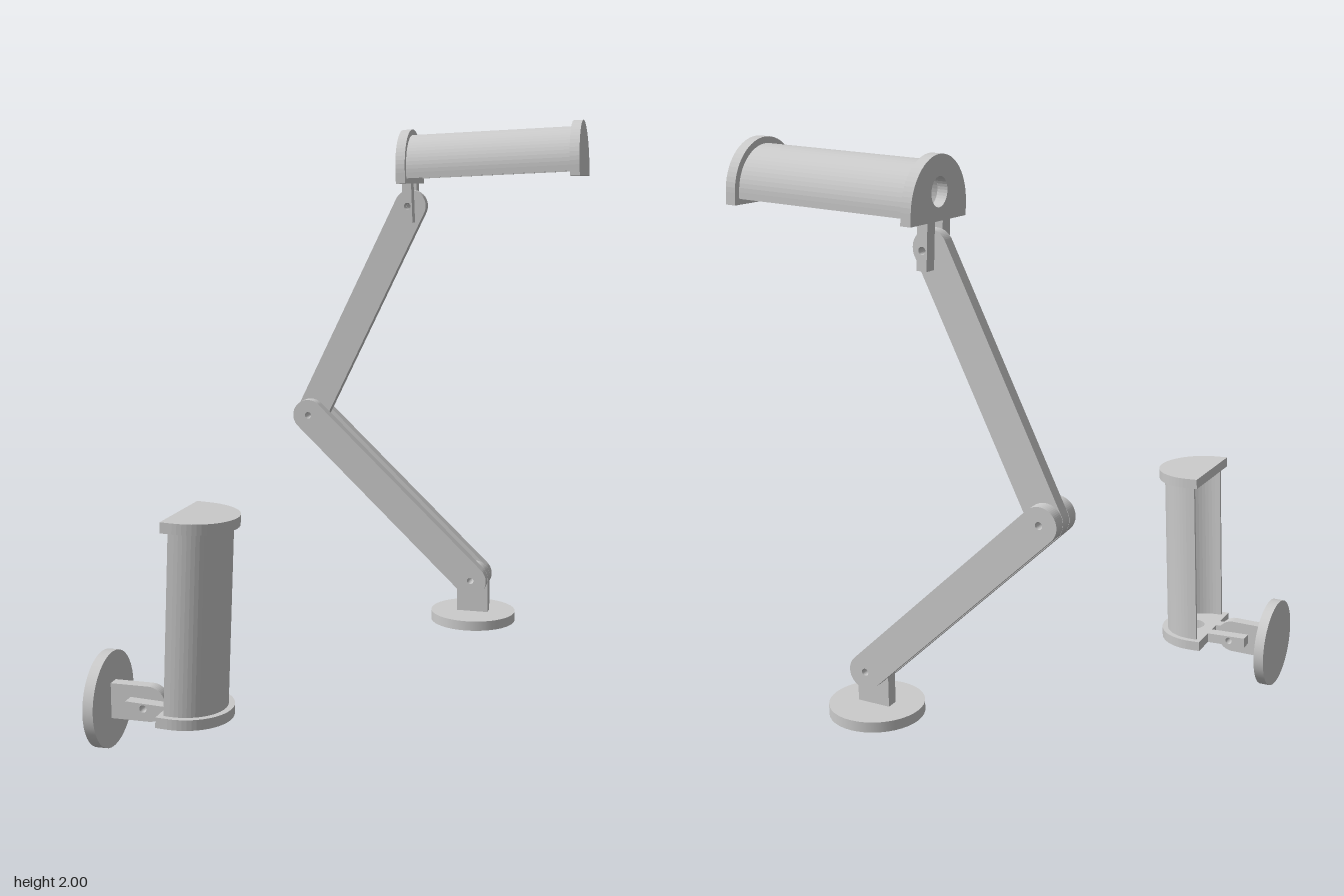
import * as THREE from 'three';

const material = new THREE.MeshStandardMaterial({ color: 0xcccccc });
const HOLE = 0.012;    // pivot hole radius
const ARM_R = 0.058;   // half width of arms
const PLATE = 0.042;   // thickness of the outer plates
const SIDE_Z = 0.043;  // z offset of the outer plates
const TILT = 0.045;    // slope of the shades

function addMesh(parent, name, geometry) {
  const mesh = new THREE.Mesh(geometry, material);
  mesh.name = name;
  parent.add(mesh);
  return mesh;
}

function addHole(shape, x, y, r) {
  const hole = new THREE.Path();
  hole.absarc(x, y, r, 0, Math.PI * 2, true);
  shape.holes.push(hole);
}

function extrude(shape, depth) {
  return new THREE.ExtrudeGeometry(shape, { depth, bevelEnabled: false, curveSegments: 16 });
}

// Extrude centred on z
function plate(shape, thickness) {
  return extrude(shape, thickness).translate(0, 0, -thickness / 2);
}

// Extrude along +x from x0 to x1
function along(shape, x0, x1) {
  return extrude(shape, x1 - x0).rotateY(Math.PI / 2).translate(x0, 0, 0);
}

// Round-ended bar with a hole at each end, from a to b
function addArm(parent, name, a, b, z, thickness) {
  const length = a.distanceTo(b);
  const s = new THREE.Shape();
  s.absarc(length, 0, ARM_R, -Math.PI / 2, Math.PI / 2, false);
  s.absarc(0, 0, ARM_R, Math.PI / 2, Math.PI * 1.5, false);
  s.closePath();
  addHole(s, 0, 0, HOLE);
  addHole(s, length, 0, HOLE);
  const arm = addMesh(parent, name, plate(s, thickness));
  arm.position.set(a.x, a.y, z);
  arm.rotation.z = Math.atan2(b.y - a.y, b.x - a.x);
}

// Disc with an upright lug; the origin is the pivot
function createMount() {
  const g = new THREE.Group();
  g.name = 'mount';
  const disc = addMesh(g, 'baseDisc', new THREE.CylinderGeometry(0.156, 0.156, 0.035, 40));
  disc.position.y = -0.145;
  const s = new THREE.Shape();
  s.moveTo(-ARM_R, -0.13);
  s.lineTo(ARM_R, -0.13);
  s.absarc(0, 0, ARM_R, 0, Math.PI, false);
  s.closePath();
  addHole(s, 0, 0, HOLE);
  addMesh(g, 'mountLug', plate(s, 0.04));
  return g;
}

// Half-round end cap outline
function capShape() {
  const s = new THREE.Shape();
  s.moveTo(-0.155, 0.08);
  s.lineTo(0.155, 0.08);
  s.absarc(0, 0.118, 0.155, 0, Math.PI, false);
  s.closePath();
  return s;
}

// Trough-shaped shade with end caps and two tabs; the origin is the pivot
function createHead() {
  const g = new THREE.Group();
  g.name = 'lampHead';

  const nearCap = capShape();
  addHole(nearCap, 0, 0.165, 0.045);
  addMesh(g, 'nearCap', along(nearCap, -0.017, 0.017));
  addMesh(g, 'farCap', along(capShape(), 0.596, 0.63));

  const shell = new THREE.Shape();
  shell.moveTo(0.125, 0.098);
  shell.lineTo(0.135, 0.098);
  shell.absarc(0, 0.118, 0.135, 0, Math.PI, false);
  shell.lineTo(-0.135, 0.098);
  shell.lineTo(-0.125, 0.098);
  shell.absarc(0, 0.118, 0.125, Math.PI, 0, true);
  shell.closePath();
  addMesh(g, 'shade', along(shell, 0.017, 0.596));

  const tab = new THREE.Shape();
  tab.moveTo(-0.017, -0.06);
  tab.lineTo(0.017, -0.06);
  tab.lineTo(0.017, 0.08);
  tab.lineTo(-0.017, 0.08);
  tab.closePath();
  addHole(tab, 0, 0, HOLE);
  for (const side of [-1, 1]) {
    addMesh(g, 'headTab', plate(tab, PLATE)).position.z = side * SIDE_Z;
  }
  g.rotation.z = TILT;
  return g;
}

// Jointed lamp standing on its disc
function createDeskLamp() {
  const g = new THREE.Group();
  g.name = 'deskLamp';
  const foot = new THREE.Vector2(0.302, 0.327);
  const elbow = new THREE.Vector2(-0.322, 0.922);
  const neck = new THREE.Vector2(0.055, 1.699);

  const mount = createMount();
  mount.position.set(foot.x, foot.y, 0);
  g.add(mount);
  for (const side of [-1, 1]) addArm(g, 'lowerArm', foot, elbow, side * SIDE_Z, PLATE);
  addArm(g, 'upperArm', elbow, neck, 0, 0.04);

  const head = createHead();
  head.position.set(neck.x, neck.y, 0);
  g.add(head);
  return g;
}

// Short lamp with its disc on the wall side, turned so the shade stands up
function createWallLamp() {
  const g = new THREE.Group();
  g.name = 'wallLamp';
  g.add(createMount(), createHead());
  g.quaternion.setFromAxisAngle(new THREE.Vector3(1, 1, 0).normalize(), Math.PI);
  g.position.set(-0.521, 0.156, 0.567);
  return g;
}

export function createModel() {
  const model = new THREE.Group();
  model.name = 'lampPair';
  const desk = createDeskLamp();
  desk.position.z = -0.567;
  model.add(desk, createWallLamp());
  return model;
}
